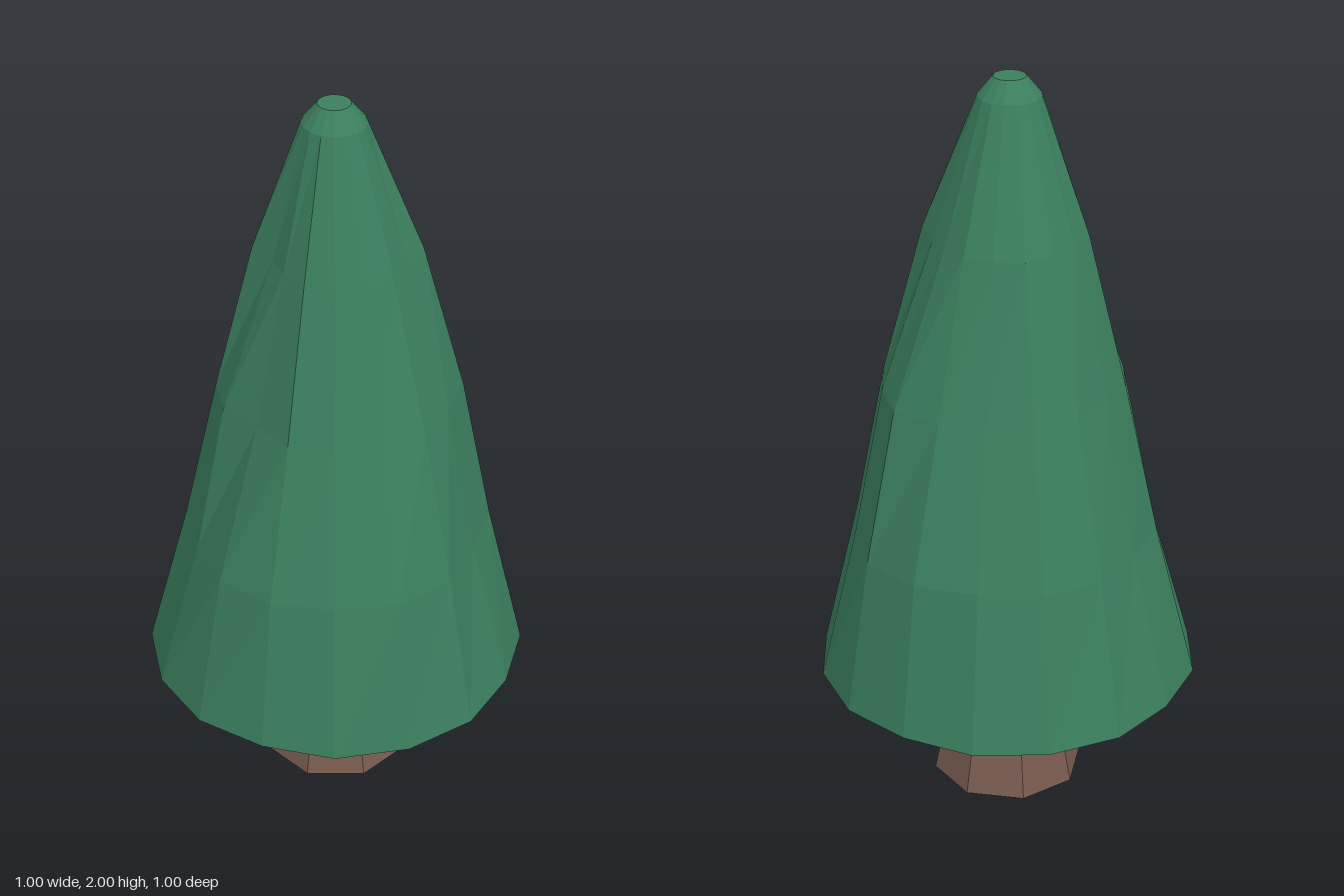
import * as THREE from 'three';

const SIDES = 16;

// Foliage cross-sections from bottom to top; radii run from +x towards +z.
const even = (r) => Array(SIDES).fill(r);
const rings = [
  { y: 0.345, z: 0, r: Array.from({ length: SIDES }, (_, i) => (i % 4 ? 0.51 : 0.5)) },
  { y: 0.77, z: 0, r: [0.39, 0.42, 0.43, 0.42, 0.43, 0.42, 0.39, 0.4, 0.39, 0.42, 0.43, 0.42, 0.44, 0.44, 0.41, 0.41] },
  { y: 1.18, z: 0, r: [0.31, 0.32, 0.31, 0.32, 0.31, 0.28, 0.31, 0.31, 0.3, 0.31, 0.32, 0.31, 0.32, 0.35, 0.33, 0.33] },
  { y: 1.59, z: 0, r: [0.19, 0.2, 0.2, 0.2, 0.2, 0.18, 0.17, 0.21, 0.2, 0.2, 0.21, 0.2, 0.2, 0.19, 0.19, 0.22] },
  { y: 1.95, z: 0.01, r: even(0.082) },
  { y: 2.0, z: 0.01, r: even(0.042) },
];

// Joins the cross-sections into a closed skin with flat ends.
function loft(sections) {
  const positions = [];
  const index = [];
  for (const { y, z, r } of sections) {
    r.forEach((radius, i) => {
      const a = (i / SIDES) * Math.PI * 2;
      positions.push(Math.cos(a) * radius, y, Math.sin(a) * radius + z);
    });
  }
  const last = sections.length - 1;
  for (let k = 0; k < last; k++) {
    for (let i = 0; i < SIDES; i++) {
      const j = (i + 1) % SIDES;
      const a = k * SIDES + i, b = k * SIDES + j;
      const c = a + SIDES, d = b + SIDES;
      index.push(a, c, b, b, c, d);
    }
  }
  const top = last * SIDES;
  for (let i = 1; i < SIDES - 1; i++) {
    index.push(0, i, i + 1);
    index.push(top, top + i + 1, top + i);
  }
  const geometry = new THREE.BufferGeometry();
  geometry.setAttribute('position', new THREE.Float32BufferAttribute(positions, 3));
  geometry.setIndex(index);
  const flat = geometry.toNonIndexed();
  flat.computeVertexNormals();
  return flat;
}

export function createModel() {
  const tree = new THREE.Group();
  tree.name = 'tree';

  // Uneven, faceted cone of needles
  const foliage = new THREE.Mesh(
    loft(rings),
    new THREE.MeshStandardMaterial({ color: 0x3b7f5e, flatShading: true })
  );
  foliage.name = 'foliage';

  // Tapered eight-sided trunk, open at the bottom
  const trunkHeight = 0.36;
  const trunk = new THREE.Mesh(
    new THREE.CylinderGeometry(0.13, 0.205, trunkHeight, 8, 1, true),
    new THREE.MeshStandardMaterial({ color: 0x795b50, flatShading: true, side: THREE.DoubleSide })
  );
  trunk.name = 'trunk';
  trunk.position.y = trunkHeight / 2;

  tree.add(foliage, trunk);
  return tree;
}
